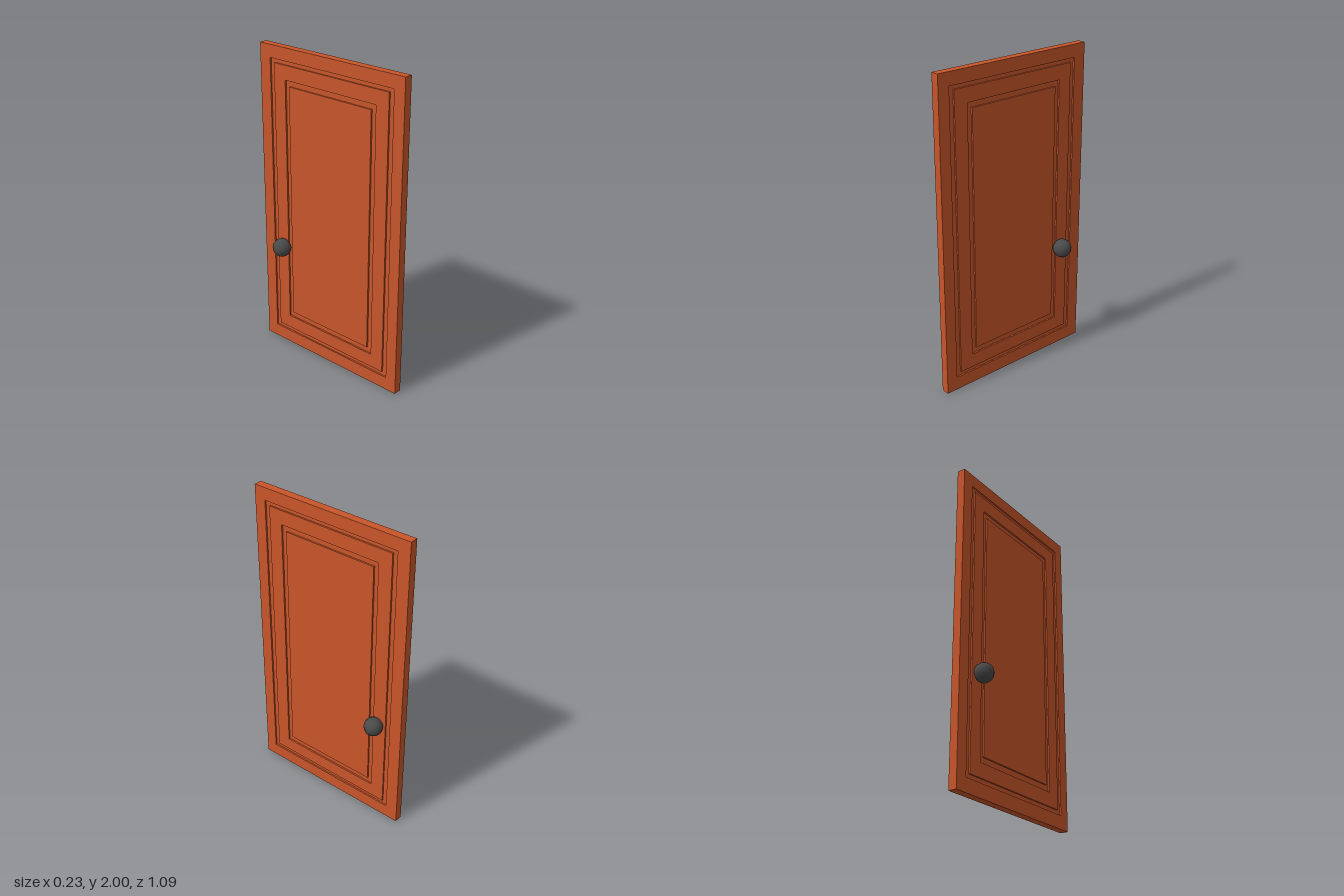
import * as THREE from 'three';

const wood = new THREE.MeshStandardMaterial({ color: 0xc8552a });
const iron = new THREE.MeshStandardMaterial({ color: 0x4a4a4a });

const THICKNESS = 0.052;
const GROOVE_DEPTH = 0.01;
const CENTRE_X = 0.002;

// Rectangles across the door as [z min, z max, y min, y max]
const edge = [-0.547, 0.547, 0, 2];
const outerGroove = [-0.466, 0.473, 0.085, 1.92];
const middleFrame = [-0.434, 0.44, 0.112, 1.895];
const innerGroove = [-0.344, 0.35, 0.2, 1.805];
const centrePanel = [-0.313, 0.317, 0.237, 1.77];

function trace(path, [a, b, c, d]) {
  path.moveTo(a, c).lineTo(b, c).lineTo(b, d).lineTo(a, d).closePath();
  return path;
}

// Upright slab in the zy plane, with an optional rectangular opening
function slab(name, outline, opening, thickness) {
  const shape = trace(new THREE.Shape(), outline);
  if (opening) shape.holes.push(trace(new THREE.Path(), opening));
  const geometry = new THREE.ExtrudeGeometry(shape, { depth: thickness, bevelEnabled: false });
  geometry.translate(0, 0, -thickness / 2).rotateY(-Math.PI / 2).translate(CENTRE_X, 0, 0);
  const mesh = new THREE.Mesh(geometry, wood);
  mesh.name = name;
  return mesh;
}

export function createModel() {
  const door = new THREE.Group();
  door.name = 'door';

  // Frames and panel, separated by grooves on both faces
  door.add(
    slab('outerFrame', edge, outerGroove, THICKNESS),
    slab('middleFrame', middleFrame, innerGroove, THICKNESS),
    slab('centrePanel', centrePanel, null, THICKNESS)
  );

  // Recessed groove floors
  const floorThickness = THICKNESS - 2 * GROOVE_DEPTH;
  door.add(
    slab('outerGrooveFloor', outerGroove, middleFrame, floorThickness),
    slab('innerGrooveFloor', innerGroove, centrePanel, floorThickness)
  );

  // A round knob on each face
  const knobGeometry = new THREE.SphereGeometry(0.06, 10, 8).rotateY(Math.PI / 2);
  for (const side of [1, -1]) {
    const knob = new THREE.Mesh(knobGeometry, iron);
    knob.name = side > 0 ? 'leftKnob' : 'rightKnob';
    knob.position.set(side * 0.06, 0.708, -0.369);
    door.add(knob);
  }
  return door;
}
